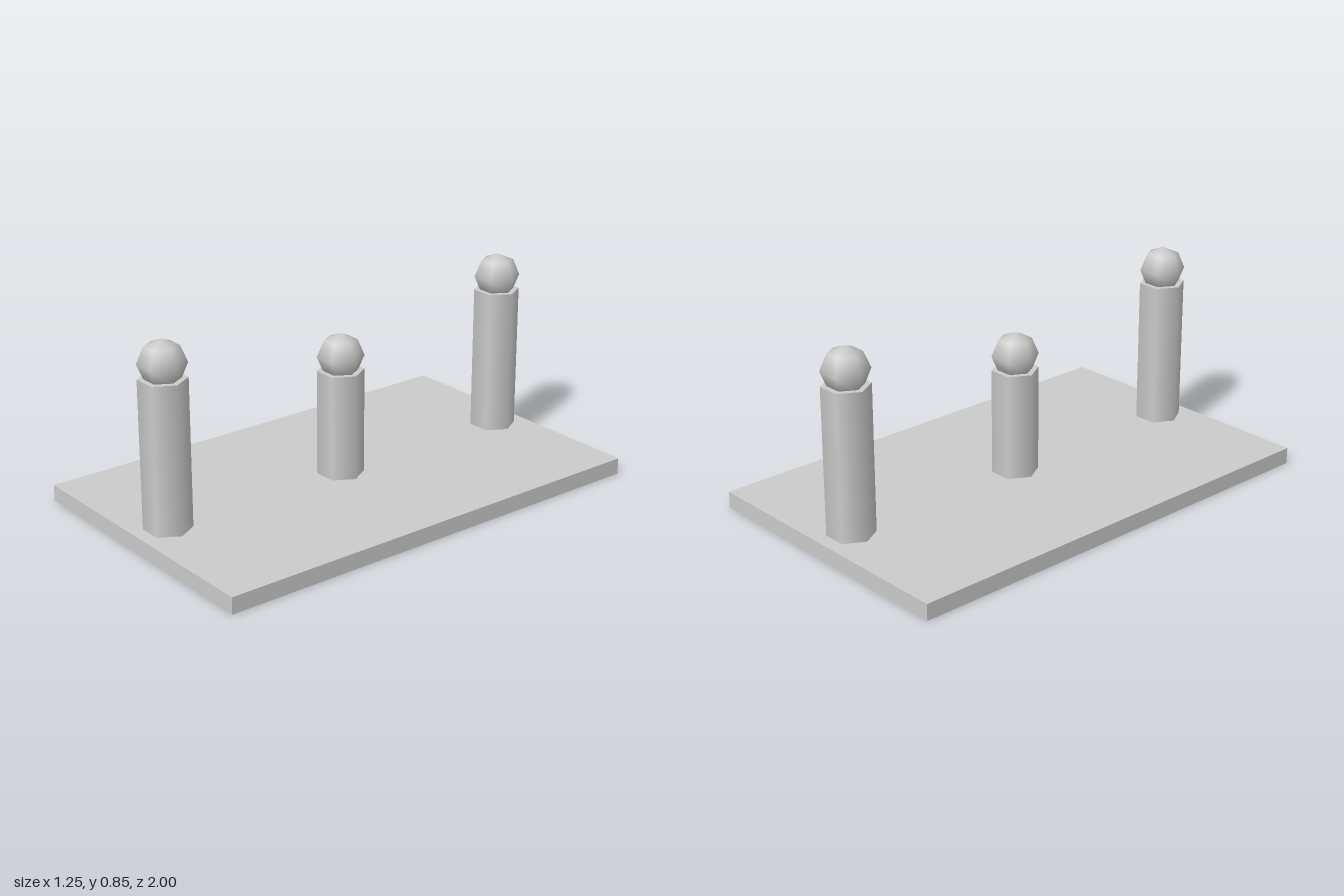
import * as THREE from 'three';

const material = new THREE.MeshStandardMaterial({ color: 0xcccccc });
const BASE_TOP = 0.07;
const RADIUS = 0.098;

function addMesh(parent, name, geometry, y) {
  const mesh = new THREE.Mesh(geometry, material);
  mesh.name = name;
  mesh.position.y = y;
  parent.add(mesh);
}

// Six-sided post with a faceted ball sunk slightly into its top
function createPost(name, topY, z) {
  const group = new THREE.Group();
  group.name = name;
  group.position.z = z;
  const height = topY - BASE_TOP;
  const shaft = new THREE.CylinderGeometry(RADIUS, RADIUS, height, 6);
  shaft.rotateY(Math.PI / 6); // corners point to the left and right
  addMesh(group, 'shaft', shaft, BASE_TOP + height / 2);
  addMesh(group, 'ball', new THREE.SphereGeometry(RADIUS, 6, 4), topY + 0.06);
  return group;
}

export function createModel() {
  const model = new THREE.Group();
  model.name = 'postsOnBase';

  // Flat rectangular base
  addMesh(model, 'base', new THREE.BoxGeometry(1.25, BASE_TOP, 2), BASE_TOP / 2);

  // Two tall outer posts and a shorter middle one
  model.add(createPost('frontPost', 0.692, 0.857));
  model.add(createPost('middlePost', 0.522, 0));
  model.add(createPost('backPost', 0.692, -0.857));
  return model;
}
